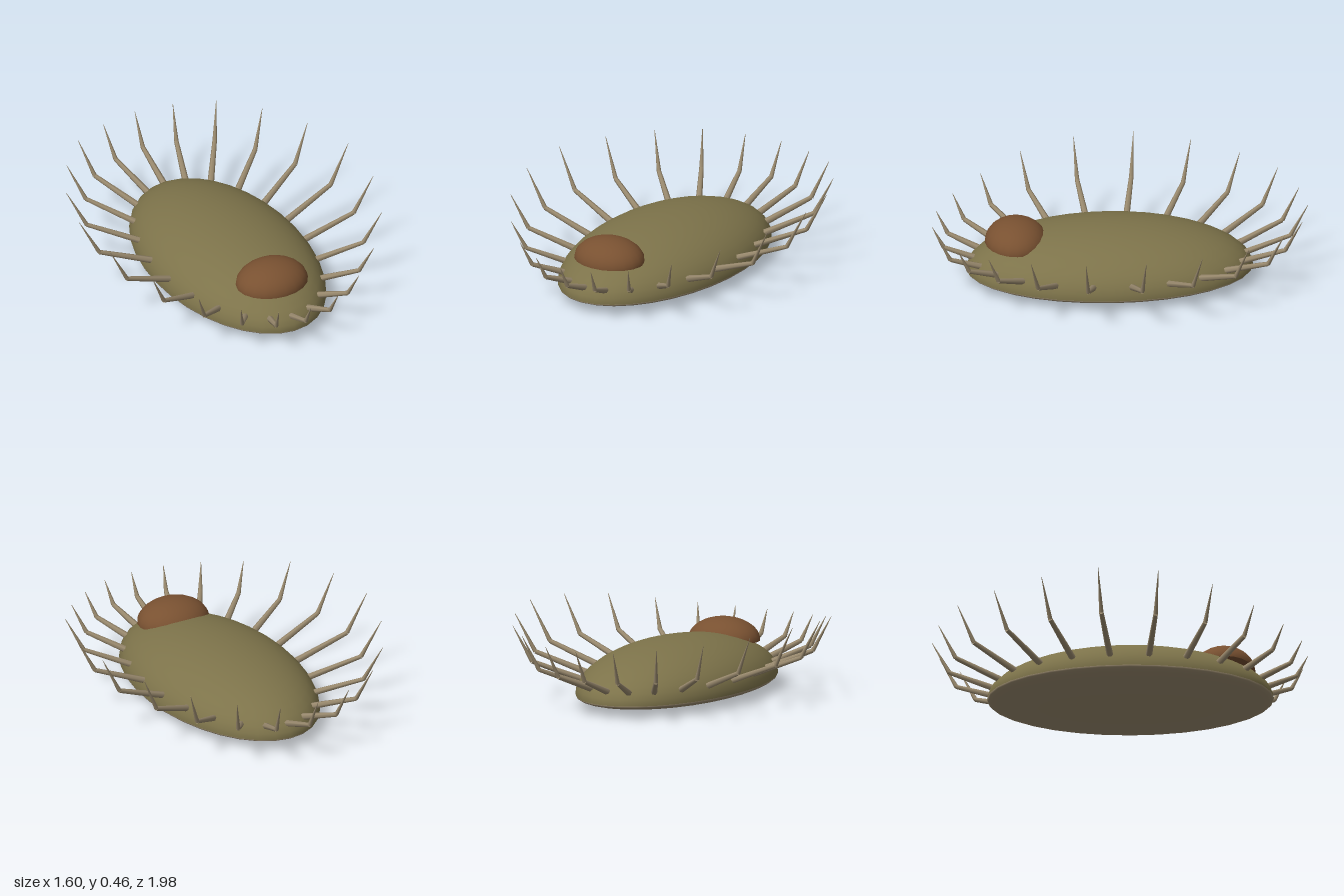
import * as THREE from 'three';

const mat = (name, color) => {
  const m = new THREE.MeshStandardMaterial({ color });
  m.name = name;
  return m;
};

export function createModel() {
  const olive = mat('olive', 0x7d734a);
  const tan = mat('tan', 0x9b8b6f);
  const brown = mat('brown', 0x795131);
  const model = new THREE.Group();
  model.name = 'spinyCreature';

  const add = (name, geometry, material, parent = model) => {
    const mesh = new THREE.Mesh(geometry, material);
    mesh.name = name;
    parent.add(mesh);
    return mesh;
  };
  // Half ellipsoid: the upper half, or the lower half
  const halfDome = (rx, ry, rz, upper, around = 32) =>
    new THREE.SphereGeometry(1, around, 12, 0, Math.PI * 2, upper ? 0 : Math.PI / 2, Math.PI / 2).scale(rx, ry, rz);

  // Oval body: domed back and shallow belly, meeting at a rim
  const RX = 0.43, RZ = 0.755, CZ = 0.045, RIM = 0.066;
  add('back', halfDome(RX, 0.243, RZ, true), olive).position.set(0, RIM, CZ);
  add('belly', halfDome(RX, RIM, RZ, false), tan).position.set(0, RIM, CZ);

  // Small domed cap near the front, closed underneath
  const cap = new THREE.Group();
  cap.name = 'cap';
  cap.position.set(0, 0.222, 0.537);
  model.add(cap);
  add('capDome', halfDome(0.198, 0.12, 0.165, true, 20), brown, cap);
  add('capBase', new THREE.CircleGeometry(1, 20).rotateX(Math.PI / 2).scale(0.198, 1, 0.165), brown, cap);

  // Tapered rod between two points
  const rod = (name, a, b, ra, rb, parent) => {
    const dir = b.clone().sub(a);
    const mesh = add(name, new THREE.CylinderGeometry(rb, ra, dir.length(), 6), tan, parent);
    mesh.position.copy(a).addScaledVector(dir, 0.5);
    mesh.quaternion.setFromUnitVectors(new THREE.Vector3(0, 1, 0), dir.normalize());
  };

  // Bent spines around the rim: outward reach from the back (0) to the front (11)
  const reach = [0.31, 0.315, 0.34, 0.35, 0.37, 0.39, 0.37, 0.33, 0.27, 0.23, 0.21, 0.2];
  const COUNT = 22;
  for (let i = 0; i < COUNT; i++) {
    const angle = (i / COUNT) * Math.PI * 2;
    const len = reach[Math.min(i, COUNT - i)];
    const out = new THREE.Vector3(Math.sin(angle), 0, -Math.cos(angle));
    const root = new THREE.Vector3(RX * 0.965 * out.x, 0.135, CZ + RZ * 0.965 * out.z);
    const along = (h, v) => root.clone().addScaledVector(out, h).add(new THREE.Vector3(0, v, 0));
    const spine = new THREE.Group();
    spine.name = 'spine';
    model.add(spine);
    const knee = along(len * 0.72, len * 0.29);
    rod('spineShaft', along(-0.02, -0.005), knee, 0.018, 0.012, spine);
    rod('spineTip', knee, along(len + 0.005, len * 0.8 + 0.015), 0.012, 0.001, spine);
  }
  return model;
}
